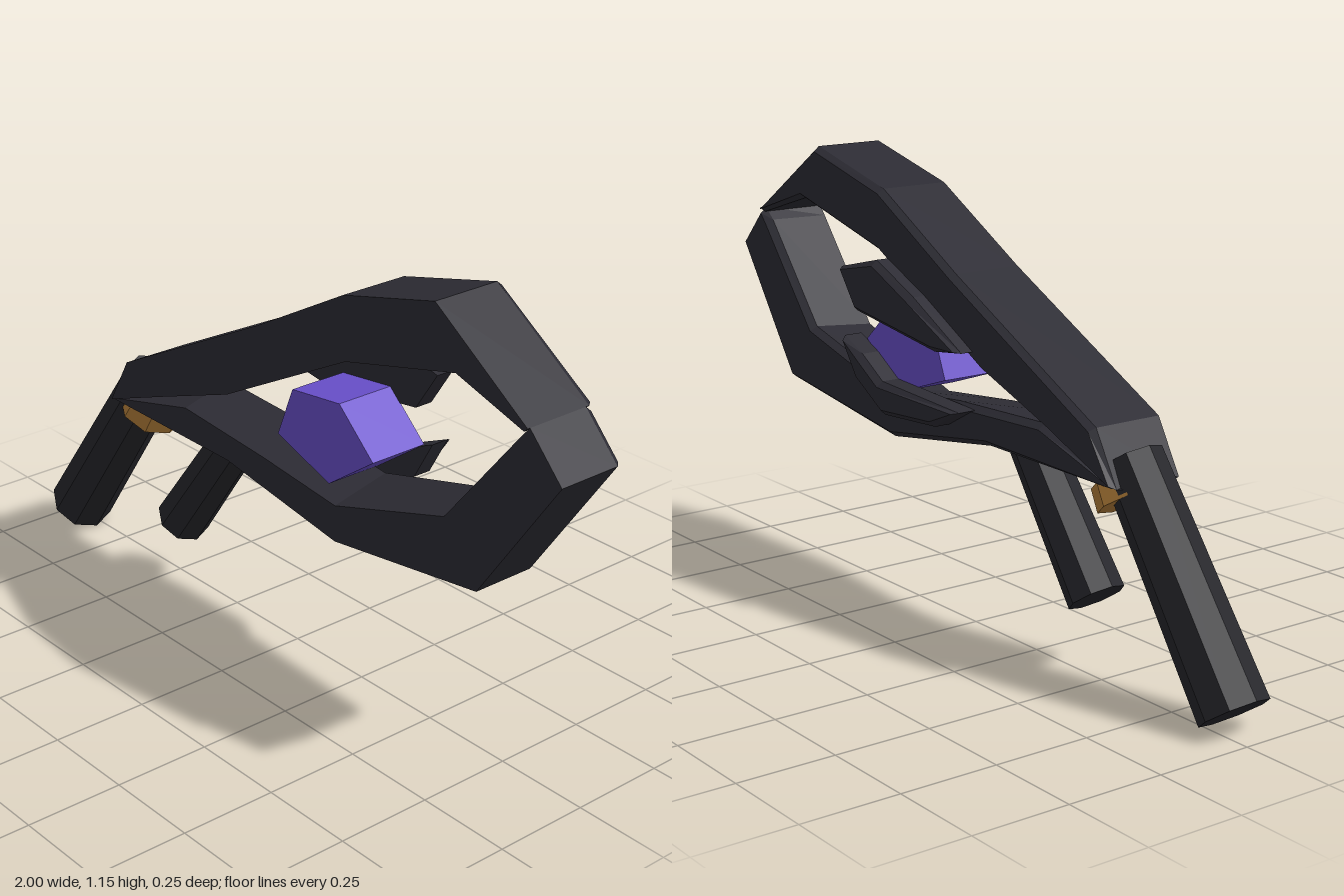
import * as THREE from 'three';

const mat = (name, color) => {
  const m = new THREE.MeshStandardMaterial({ color });
  m.name = name;
  return m;
};

// Moves every corner of a counter-clockwise outline inwards by d
function inset(pts, d) {
  const n = pts.length;
  return pts.map((p, i) => {
    const a = pts[(i + n - 1) % n], b = pts[(i + 1) % n];
    const e1 = new THREE.Vector2(p[0] - a[0], p[1] - a[1]).normalize();
    const e2 = new THREE.Vector2(b[0] - p[0], b[1] - p[1]).normalize();
    const m = new THREE.Vector2(-e1.y - e2.y, e1.x + e2.x).normalize();
    return [p[0] + m.x * d, p[1] + m.y * d];
  });
}

// Solid through outlines ordered from front to back, each { pts, z }
function loft(rings) {
  const n = rings[0].pts.length, pos = [], index = [];
  rings.forEach(r => r.pts.forEach(p => pos.push(p[0], p[1], r.z)));
  for (let r = 0; r < rings.length - 1; r++) {
    for (let i = 0; i < n; i++) {
      const j = (i + 1) % n, a = r * n + i, b = r * n + j;
      index.push(a, a + n, b, b, a + n, b + n);
    }
  }
  const cap = (k, flip) => {
    const v = rings[k].pts.map(p => new THREE.Vector2(p[0], p[1]));
    for (const [a, b, c] of THREE.ShapeUtils.triangulateShape(v, [])) {
      const o = k * n;
      if (flip) index.push(o + a, o + c, o + b);
      else index.push(o + a, o + b, o + c);
    }
  };
  cap(0, false);
  cap(rings.length - 1, true);
  const g = new THREE.BufferGeometry();
  g.setAttribute('position', new THREE.Float32BufferAttribute(pos, 3));
  g.setIndex(index);
  const flat = g.toNonIndexed();
  flat.computeVertexNormals();
  return flat;
}

// Eight-sided tapered rod between two points in the xy plane
function rod(from, to, z, r0, r1) {
  const a = new THREE.Vector3(from[0], from[1], z), b = new THREE.Vector3(to[0], to[1], z);
  const dir = b.clone().sub(a);
  const g = new THREE.CylinderGeometry(r1, r0, dir.length(), 8).toNonIndexed();
  g.computeVertexNormals();
  g.rotateZ(Math.atan2(-dir.x, dir.y));
  g.translate((a.x + b.x) / 2, (a.y + b.y) / 2, z);
  return g;
}

export function createModel() {
  const group = new THREE.Group();
  const frame = mat('charcoal', 0x2d2c34);
  const grip = mat('dark grip', 0x27272c);
  const bronze = mat('bronze', 0xb8823c);
  const violet = mat('violet', 0x6a50cc);
  const add = (name, geometry, material) => {
    const m = new THREE.Mesh(geometry, material);
    m.name = name;
    group.add(m);
  };

  // Upper arm of the frame, bevelled at the back
  const upper = [[-0.615, 0.51], [-0.37, 0.6], [-0.12, 0.69], [0.32, 0.92], [0.68, 1.01],
    [0.89, 0.945], [0.9, 0.955], [0.61, 1.155], [0.31, 1.08], [0, 0.91], [-0.54, 0.64]];
  add('upperArm', loft([{ pts: upper, z: 0.127 }, { pts: upper, z: -0.06 },
    { pts: inset(upper, 0.013), z: -0.077 }]), frame);

  // Lower arm, whose inner wall rises towards the back
  const outer = [[-0.62, 0.51], [-0.13, 0.505], [0.28, 0.44], [0.76, 0.505], [1, 0.85], [0.9, 0.955]];
  const lowerFront = [...outer, [0.87, 0.92], [0.65, 0.65], [0.28, 0.535], [0.01, 0.565], [-0.3, 0.59]];
  const lowerBack = [...outer, [0.865, 0.925], [0.65, 0.665], [0.27, 0.565], [0, 0.592], [-0.34, 0.607]];
  add('lowerArm', loft([{ pts: lowerFront, z: 0.12 }, { pts: lowerBack, z: -0.05 },
    { pts: inset(lowerBack, 0.015), z: -0.068 }]), frame);

  // Two bevelled plates behind the gem
  const plates = {
    upperBackPlate: [[-0.09, 0.735], [0.02, 0.72], [0.36, 0.765], [0.43, 0.87], [0.27, 0.91], [0.11, 0.84]],
    lowerBackPlate: [[-0.08, 0.585], [0.02, 0.53], [0.24, 0.515], [0.36, 0.585], [0.42, 0.69],
      [0.34, 0.655], [0.25, 0.6]],
  };
  for (const [name, pts] of Object.entries(plates)) {
    add(name, loft([{ pts, z: -0.06 }, { pts, z: -0.11 }, { pts: inset(pts, 0.015), z: -0.126 }]), frame);
  }

  // Five-sided gem
  const gem = [[0.045, 0.635], [0.235, 0.57], [0.39, 0.68], [0.27, 0.79], [0.1, 0.77]];
  add('gem', loft([{ pts: gem, z: 0.1 }, { pts: gem, z: -0.062 }]), violet);

  // Grips and collar
  add('rearGrip', rod([-0.93, 0.055], [-0.565, 0.56], 0.025, 0.0865, 0.076), grip);
  add('frontGrip', rod([-0.447, 0.19], [-0.177, 0.55], 0.025, 0.072, 0.062), grip);
  add('collar', rod([-0.582, 0.466], [-0.55, 0.515], 0.02, 0.09, 0.085), bronze);
  return group;
}
